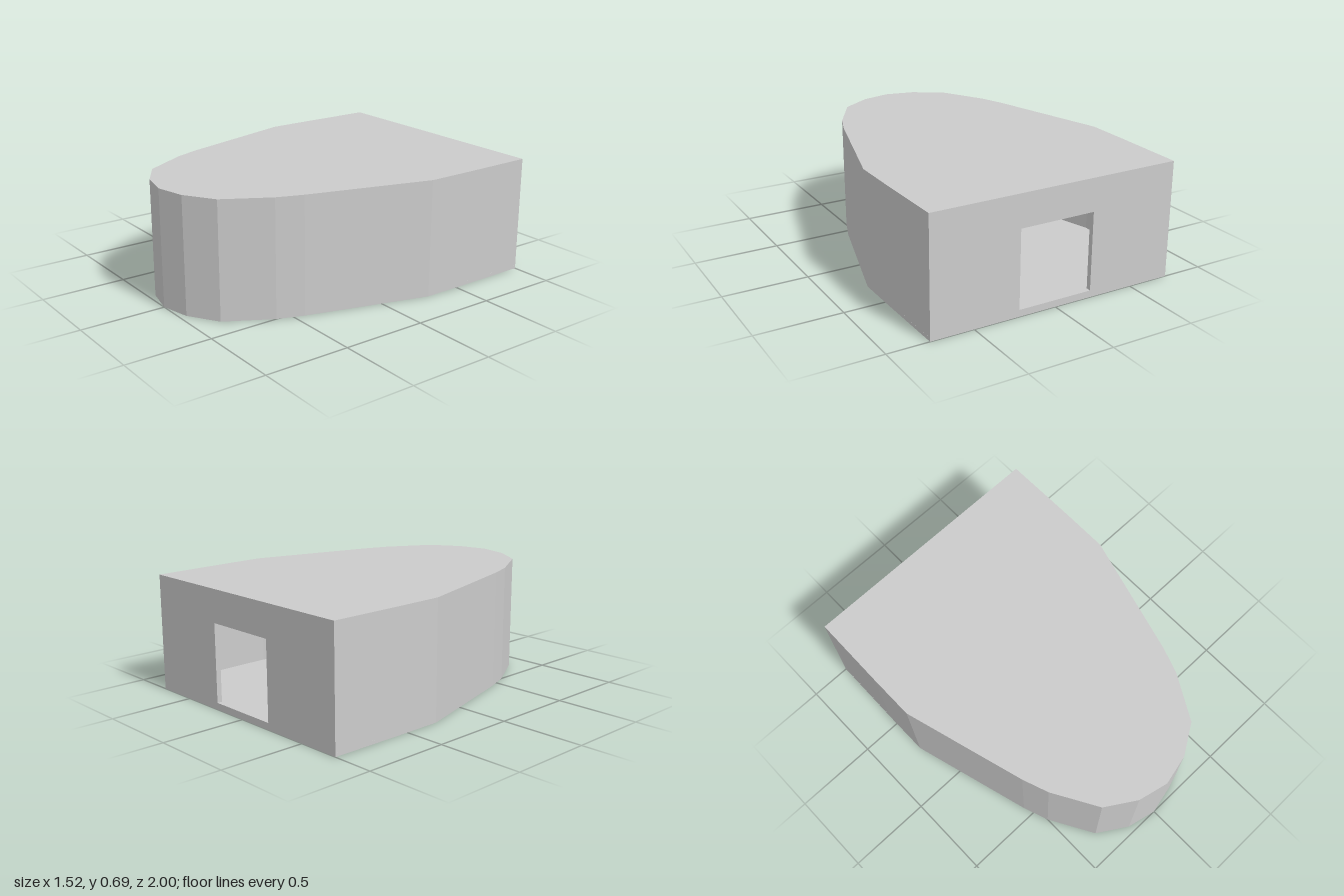
import * as THREE from 'three';

const HEIGHT = 0.69, PLATE = 0.02, WALL = 0.03, LEDGE = 0.085;

// Plan outline as (x, z): left half from the back corner to the tip, then mirrored
const HALF = [[0.755, -1], [0.76, -0.55], [0.76, -0.28], [0.555, 0.44], [0.5, 0.59], [0.35, 0.85], [0.175, 0.96]];
const OUTLINE = [...HALF, [0, 1], ...HALF.map(([x, z]) => [-x, z]).reverse()]
  .map(([x, z]) => new THREE.Vector2(x, z));

// Moves the outline inward by a distance, with mitred corners
function inset(points, distance) {
  const n = points.length;
  const normal = (a, b) => {
    const d = b.clone().sub(a).normalize();
    return new THREE.Vector2(-d.y, d.x);
  };
  return points.map((p, i) => {
    const n1 = normal(points[(i + n - 1) % n], p);
    const n2 = normal(p, points[(i + 1) % n]);
    const mitre = n1.clone().add(n2).multiplyScalar(distance / (1 + n1.dot(n2)));
    return p.clone().add(mitre);
  });
}

const toPlan = (points) => points.map((p) => new THREE.Vector2(p.x, -p.y));

export function createModel() {
  const group = new THREE.Group();
  const material = new THREE.MeshStandardMaterial({ color: 0xcccccc, flatShading: true });

  const add = (name, geometry) => {
    const mesh = new THREE.Mesh(geometry, material);
    mesh.name = name;
    group.add(mesh);
  };

  // Extrudes a plan upward between two heights
  const slab = (name, points, y0, y1, hole) => {
    const shape = new THREE.Shape(toPlan(points));
    if (hole) shape.holes.push(new THREE.Path(toPlan(hole)));
    const geometry = new THREE.ExtrudeGeometry(shape, { depth: y1 - y0, bevelEnabled: false });
    geometry.rotateX(-Math.PI / 2).translate(0, y0, 0);
    add(name, geometry);
  };

  // Floor and roof plates
  slab('floorPlate', OUTLINE, 0, PLATE);
  slab('roofPlate', OUTLINE, HEIGHT - PLATE, HEIGHT);

  // Side wall running round the nose, open at the back
  const inner = inset(OUTLINE, WALL);
  const outer = OUTLINE.map((p) => new THREE.Vector2(p.x, Math.max(p.y, -1 + WALL)));
  slab('sideWall', [...outer, ...inner.slice().reverse()], PLATE, HEIGHT - PLATE);

  // Inner ledges along the floor and the roof
  const ledgeEdge = inset(OUTLINE, LEDGE);
  slab('floorLedge', inner, PLATE, 0.04, ledgeEdge);
  slab('roofLedge', inner, 0.645, HEIGHT - PLATE, ledgeEdge);

  // Back wall with the doorway
  const w = HALF[0][0], d = 0.227;
  const back = new THREE.Shape();
  back.moveTo(-w, PLATE).lineTo(w, PLATE).lineTo(w, HEIGHT - PLATE).lineTo(-w, HEIGHT - PLATE).closePath();
  const door = new THREE.Path();
  door.moveTo(-d, 0.04).lineTo(-d, 0.498).lineTo(d, 0.498).lineTo(d, 0.04).closePath();
  back.holes.push(door);
  add('backWall', new THREE.ExtrudeGeometry(back, { depth: WALL, bevelEnabled: false }).translate(0, 0, -1));

  return group;
}
